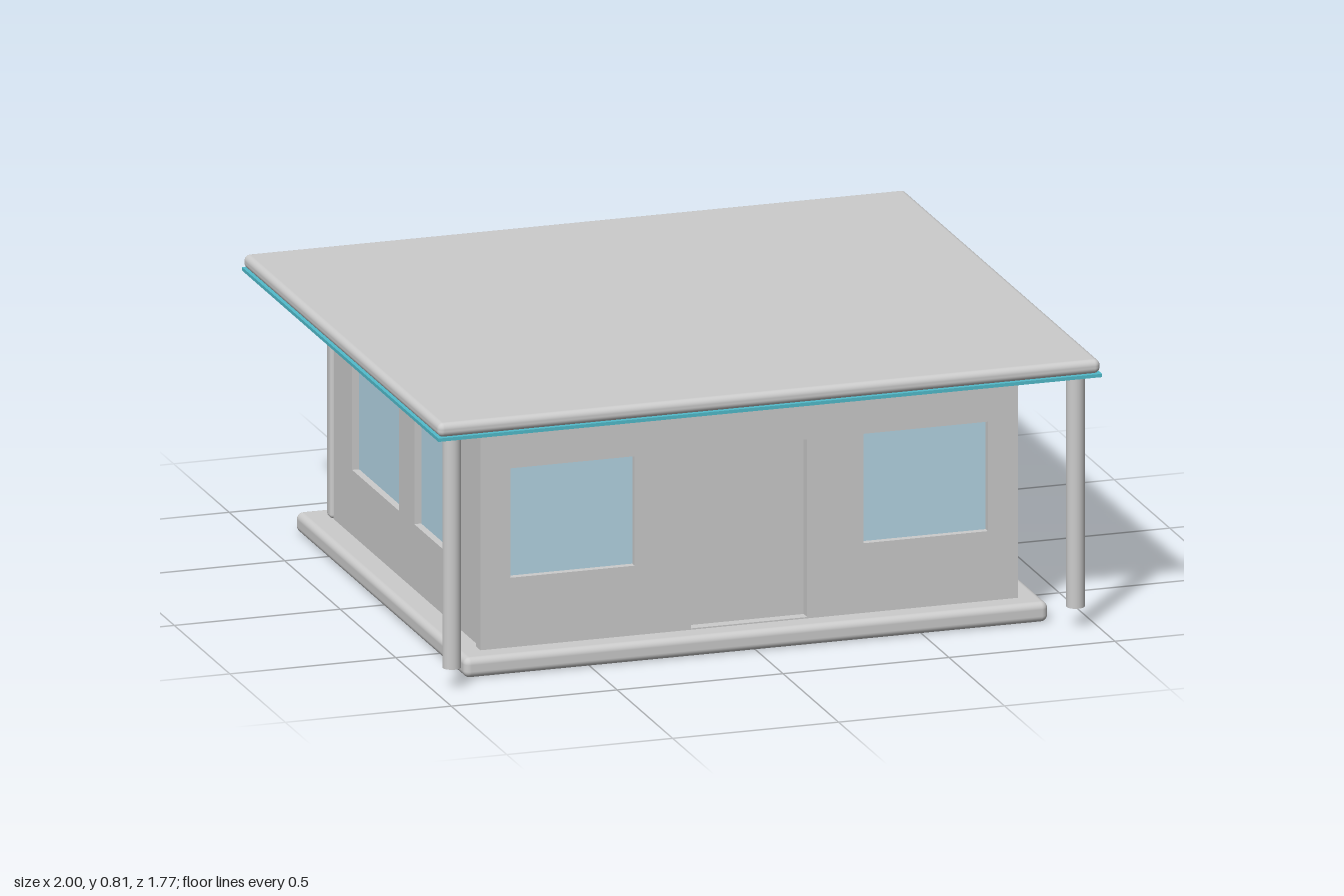
import * as THREE from 'three';
import { RoundedBoxGeometry } from 'three/addons/geometries/RoundedBoxGeometry.js';

function material(name, color) {
  const m = new THREE.MeshStandardMaterial({ color });
  m.name = name;
  return m;
}

// Closed rectangular outline from corner to corner
function rect(Type, x0, y0, x1, y1) {
  return new Type([[x0, y0], [x1, y0], [x1, y1], [x0, y1]].map(p => new THREE.Vector2(...p)));
}

export function createModel() {
  const model = new THREE.Group();
  model.name = 'house';
  const grey = material('plasterGrey', 0xcccccc);
  const glass = material('windowBlue', 0xb5d6e6);
  const teal = material('trimTeal', 0x52bccc);

  function add(name, geometry, mat, x = 0, y = 0, z = 0, parent = model) {
    const mesh = new THREE.Mesh(geometry, mat);
    mesh.name = name;
    mesh.position.set(x, y, z);
    parent.add(mesh);
    return mesh;
  }

  const BASE = 0.06, EAVE = 0.757, THICK = 0.04;

  // Rounded slabs at the bottom and top
  add('foundation', new RoundedBoxGeometry(1.76, BASE, 1.53, 4, 0.02), grey, 0, BASE / 2, 0);
  add('roof', new RoundedBoxGeometry(1.996, 0.042, 1.766, 4, 0.018), grey, 0, 0.786, 0);
  add('roofTrim', new THREE.BoxGeometry(2, 0.01, 1.77), teal, 0, 0.761, 0);

  // Grey part of the soffit, towards the back corner on the +x side
  const soffitShape = new THREE.Shape([
    new THREE.Vector2(0.985, -0.87), new THREE.Vector2(0.985, 0.08), new THREE.Vector2(-0.98, -0.87),
  ]);
  const soffit = new THREE.ExtrudeGeometry(soffitShape, { depth: 0.002, bevelEnabled: false });
  soffit.rotateX(Math.PI / 2);
  add('soffit', soffit, grey, 0, 0.756, 0);

  // Wall with its openings, outer face on z = 0 and body behind it
  function wall(name, halfWidth, openings) {
    const group = new THREE.Group();
    group.name = name;
    const shape = rect(THREE.Shape, -halfWidth, BASE, halfWidth, EAVE);
    for (const o of openings) {
      const [x0, y0, x1, y1] = o.box;
      shape.holes.push(rect(THREE.Path, x0, y0, x1, y1));
      add(o.name, new THREE.BoxGeometry(x1 - x0, y1 - y0, 0.008), o.mat,
        (x0 + x1) / 2, (y0 + y1) / 2, -o.recess, group);
    }
    const geometry = new THREE.ExtrudeGeometry(shape, { depth: THICK, bevelEnabled: false });
    add(name + 'Panel', geometry, grey, 0, 0, -THICK, group);
    model.add(group);
    return group;
  }

  const pane = (x0, y0, x1, y1) => ({ name: 'window', box: [x0, y0, x1, y1], mat: glass, recess: 0.025 });

  // Front wall with a door between two windows
  wall('frontWall', 0.81, [
    pane(-0.72, 0.268, -0.345, 0.595),
    pane(0.345, 0.268, 0.72, 0.595),
    { name: 'door', box: [-0.175, BASE + 0.004, 0.175, 0.595], mat: grey, recess: 0.036 },
  ]).position.z = 0.695;

  // Side walls with two windows each
  for (const s of [-1, 1]) {
    const side = wall(s > 0 ? 'leftWall' : 'rightWall', 0.66, [
      pane(-0.49, 0.255, -0.07, 0.603),
      pane(0.07, 0.255, 0.49, 0.603),
    ]);
    side.rotation.y = s * Math.PI / 2;
    side.position.x = s * 0.8;
  }

  // Back wall is plain
  add('backWall', new RoundedBoxGeometry(1.62, EAVE - BASE, THICK, 3, 0.012), grey,
    0, (BASE + EAVE) / 2, -0.675);

  // Porch posts under the front corners of the roof
  for (const s of [-1, 1]) {
    add('porchPost', new THREE.CylinderGeometry(0.027, 0.027, EAVE - BASE, 24), grey,
      s * 0.94, (BASE + EAVE) / 2, 0.825);
  }
  return model;
}
